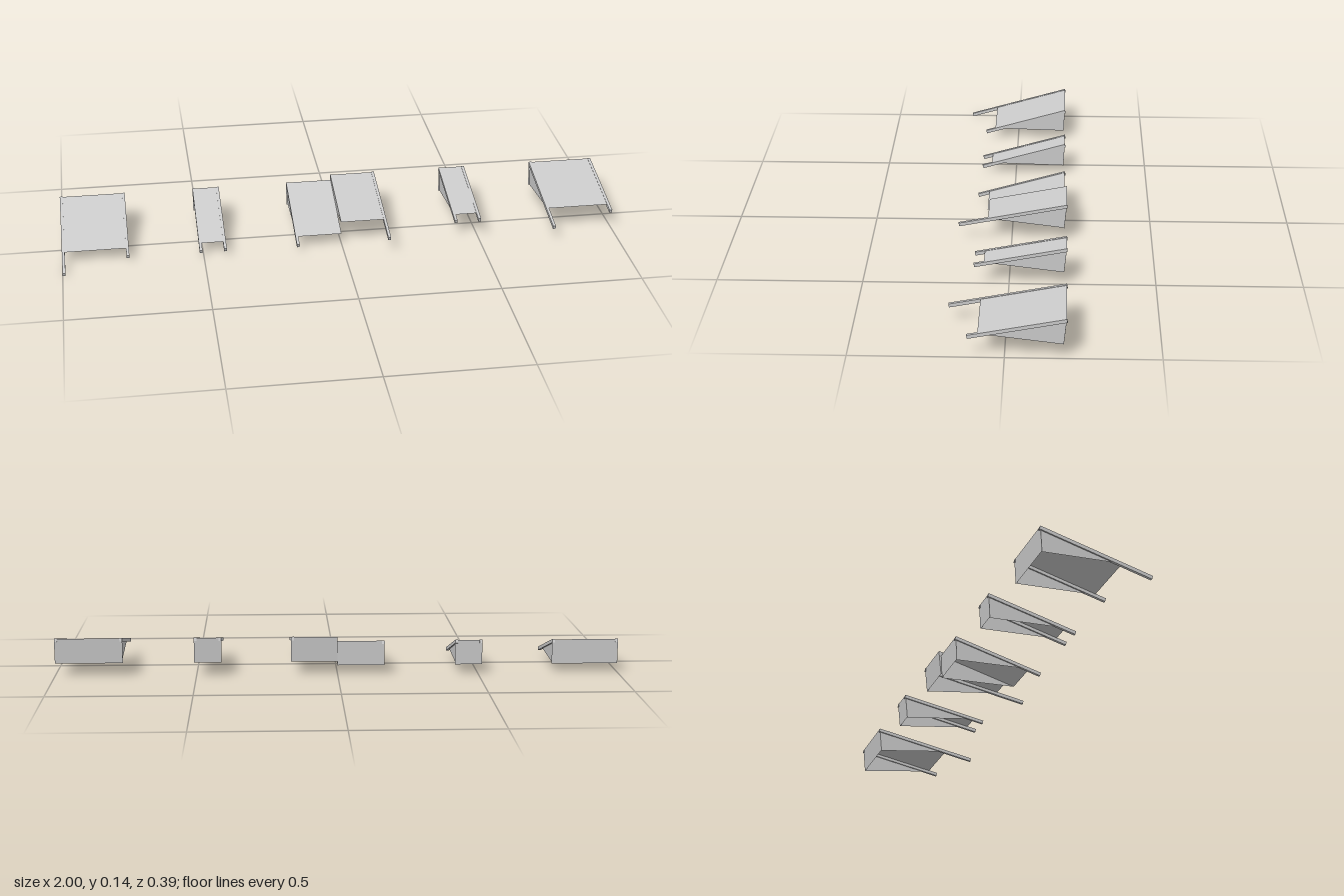
import * as THREE from 'three';

const material = new THREE.MeshStandardMaterial({ color: 0xcccccc, flatShading: true, side: THREE.DoubleSide });
const RAIL_W = 0.01, RAIL_H = 0.0125;

// Two slopes: the ramps on the -x half are steeper and lower than those on the +x half.
// line: rail top (z, y) at front and back; tip/heel: lower edge of the side walls.
const steep = { z0: 0.196, y0: 0.0145, z1: -0.187, y1: 0.125, tip: [0.093, 0.0425], heel: [-0.183, 0.035] };
const shallow = { z0: 0.19, y0: 0.066, z1: -0.196, y1: 0.142, tip: [0.085, 0.0835], heel: [-0.187, 0.05] };

const heightAt = (s, z) => s.y0 + (s.y1 - s.y0) * (z - s.z0) / (s.z1 - s.z0);

function addMesh(group, name, geometry) {
  const mesh = new THREE.Mesh(geometry, material);
  mesh.name = name;
  group.add(mesh);
  return mesh;
}

// Flat four-cornered panel
function panel(a, b, c, d) {
  const geometry = new THREE.BufferGeometry();
  geometry.setAttribute('position', new THREE.Float32BufferAttribute([...a, ...b, ...c, ...d], 3));
  geometry.setIndex([0, 1, 2, 0, 2, 3]);
  geometry.computeVertexNormals();
  return geometry;
}

// Square bar lying along the slope
function addRail(group, s, x, zFront) {
  const yFront = heightAt(s, zFront);
  const dz = zFront - s.z1, dy = s.y1 - yFront;
  const angle = Math.atan2(dy, dz);
  const rail = addMesh(group, 'rail', new THREE.BoxGeometry(RAIL_W, RAIL_H, Math.hypot(dz, dy)));
  rail.rotation.x = angle;
  rail.position.set(x,
    (yFront + s.y1) / 2 - Math.cos(angle) * RAIL_H / 2,
    (zFront + s.z1) / 2 - Math.sin(angle) * RAIL_H / 2);
}

// Open-bottomed wedge: sloping deck, two side walls, back wall and optional rails
function makeRamp(name, s, xMin, xMax, railMin, railMax) {
  const group = new THREE.Group();
  group.name = name;
  const drop = 0.0015;
  const [tz, ty] = s.tip, [hz, hy] = s.heel;
  const fy = heightAt(s, tz) - drop, by = s.y1 - drop;

  addMesh(group, 'deck', panel([xMin, fy, tz], [xMax, fy, tz], [xMax, by, s.z1], [xMin, by, s.z1]));
  addMesh(group, 'backWall', panel([xMax, hy, hz], [xMin, hy, hz], [xMin, by, s.z1], [xMax, by, s.z1]));

  // Walls stand just inside the rails where there are any
  const walls = [xMin + (railMin ? RAIL_W / 2 : 0), xMax - (railMax ? RAIL_W / 2 : 0)];
  walls.forEach((x, i) => {
    const p = [[x, ty, tz], [x, hy, hz], [x, by, s.z1], [x, fy, tz]];
    if (i === 0) p.reverse();
    addMesh(group, 'sideWall', panel(...p));
  });

  if (railMin) addRail(group, s, xMin + RAIL_W / 2, railMin);
  if (railMax) addRail(group, s, xMax - RAIL_W / 2, railMax);
  return group;
}

export function createModel() {
  const model = new THREE.Group();
  model.name = 'ramps';
  model.add(
    makeRamp('rightWideRamp', steep, -1, -0.764, 0.196, 0.13),
    makeRamp('rightNarrowRamp', steep, -0.515, -0.418, 0.13, 0.13),
    makeRamp('rightCentreRamp', steep, -0.167, 0, 0.135, 0),
    makeRamp('leftCentreRamp', shallow, 0, 0.165, 0, 0.19),
    makeRamp('leftNarrowRamp', shallow, 0.411, 0.508, 0.12, 0.12),
    makeRamp('leftWideRamp', shallow, 0.759, 0.998, 0.19, 0.12),
  );
  return model;
}
